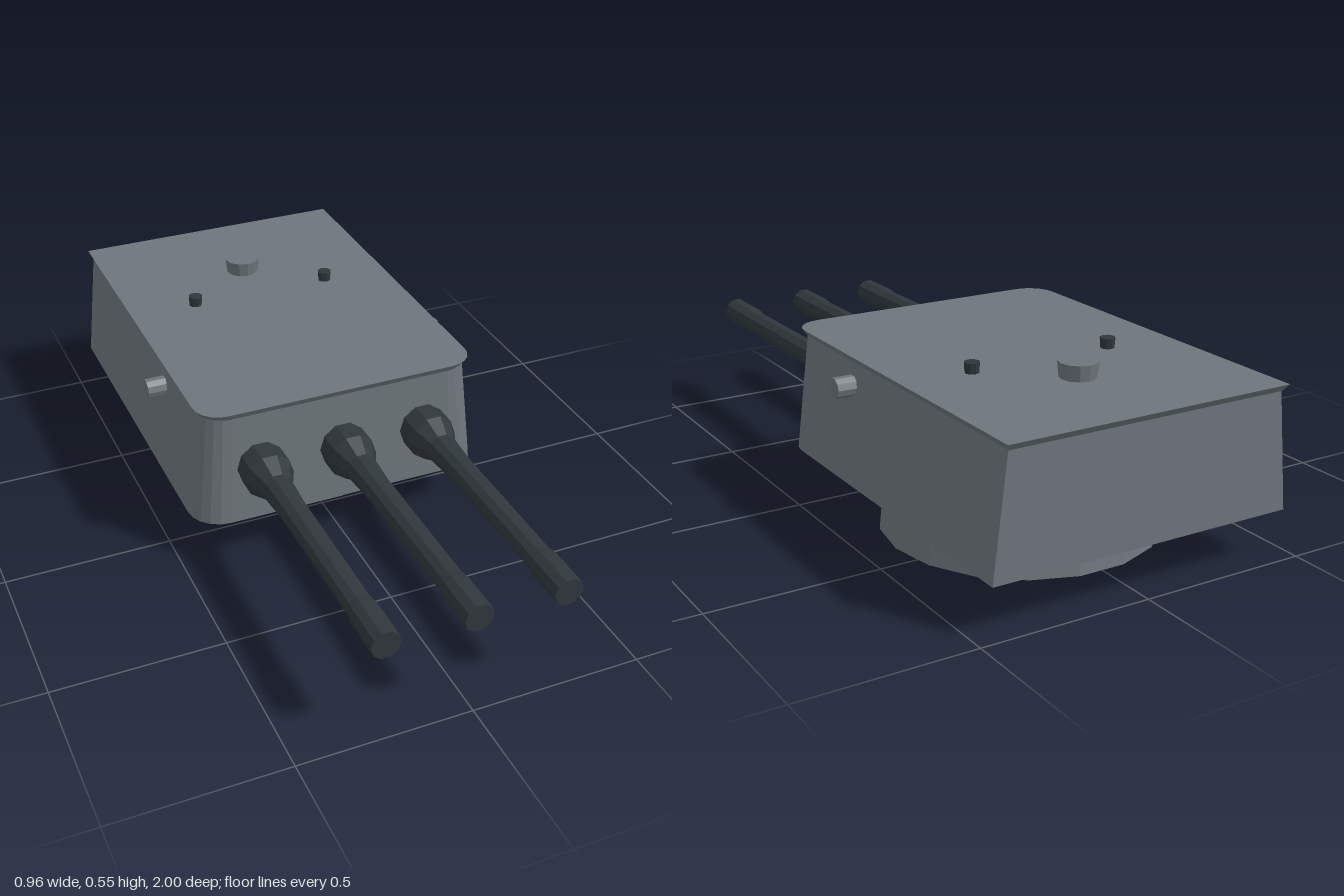
import * as THREE from 'three';

const flat = (name, color) => {
  const m = new THREE.MeshStandardMaterial({ color, flatShading: true });
  m.name = name;
  return m;
};

// Plan outline: square rear corners, rounded front corners
function outline(y, halfWidth, front, back, radius, steps = 5) {
  const pts = [new THREE.Vector3(halfWidth, y, back), new THREE.Vector3(-halfWidth, y, back)];
  for (const side of [-1, 1]) {
    for (let i = 0; i <= steps; i++) {
      const t = (side < 0 ? i : steps - i) / steps * Math.PI / 2;
      pts.push(new THREE.Vector3(
        side * (halfWidth - radius + radius * Math.cos(t)), y,
        front - radius + radius * Math.sin(t)));
    }
  }
  return pts;
}

// Closed solid between a lower and an upper outline
function loft(low, high) {
  const pos = [];
  const tri = (...v) => v.forEach(p => pos.push(p.x, p.y, p.z));
  const n = low.length;
  for (let i = 0; i < n; i++) {
    const j = (i + 1) % n;
    tri(low[i], high[j], high[i]);
    tri(low[i], low[j], high[j]);
    if (i > 0 && i < n - 1) {
      tri(high[0], high[i], high[i + 1]);
      tri(low[0], low[i + 1], low[i]);
    }
  }
  const g = new THREE.BufferGeometry();
  g.setAttribute('position', new THREE.Float32BufferAttribute(pos, 3));
  g.computeVertexNormals();
  return g;
}

export function createModel() {
  const model = new THREE.Group();
  model.name = 'gunTurret';
  const grey = flat('hullGrey', 0x6e767b);
  const dark = flat('gunMetal', 0x30373b);

  const add = (name, geometry, material, x = 0, y = 0, z = 0) => {
    const mesh = new THREE.Mesh(geometry, material);
    mesh.name = name;
    mesh.position.set(x, y, z);
    model.add(mesh);
    return mesh;
  };

  // Rotating base ring
  add('base', new THREE.CylinderGeometry(0.385, 0.403, 0.14, 18), grey, 0, 0.07, -0.407)
    .rotation.y = Math.PI / 18;

  // Tapered gun house and flared roof plate
  add('gunHouse', loft(
    outline(0.14, 0.457, 0.166, -0.983, 0.1),
    outline(0.48, 0.418, 0.146, -0.983, 0.08)), grey);
  add('roof', loft(
    outline(0.48, 0.418, 0.146, -0.985, 0.08),
    outline(0.5, 0.43, 0.157, -1, 0.08)), grey);

  // Cupola on the roof
  add('cupola', new THREE.CylinderGeometry(0.056, 0.051, 0.045, 12), grey, 0, 0.5225, -0.67);

  // Periscopes and side sight tubes, mirrored
  for (const side of [-1, 1]) {
    add('periscope', new THREE.CylinderGeometry(0.022, 0.02, 0.03, 8), dark, side * 0.22, 0.515, -0.5);
    add('sideSight', new THREE.CylinderGeometry(0.03, 0.03, 0.1, 10), grey, side * 0.431, 0.415, -0.208)
      .rotation.z = Math.PI / 2;
  }

  // Three barrels with sleeves, profile given as (radius, z)
  const profile = [[0, 0.1], [0.073, 0.1], [0.073, 0.225], [0.046, 0.285], [0.039, 0.4],
    [0.037, 0.84], [0.042, 0.87], [0.042, 1], [0, 1]].map(p => new THREE.Vector2(...p));
  for (const x of [-0.257, 0, 0.257]) {
    const gun = add('gunBarrel', new THREE.LatheGeometry(profile, 10, Math.PI / 2), dark, x, 0.313, 0);
    gun.rotation.x = Math.PI / 2;
  }
  return model;
}
